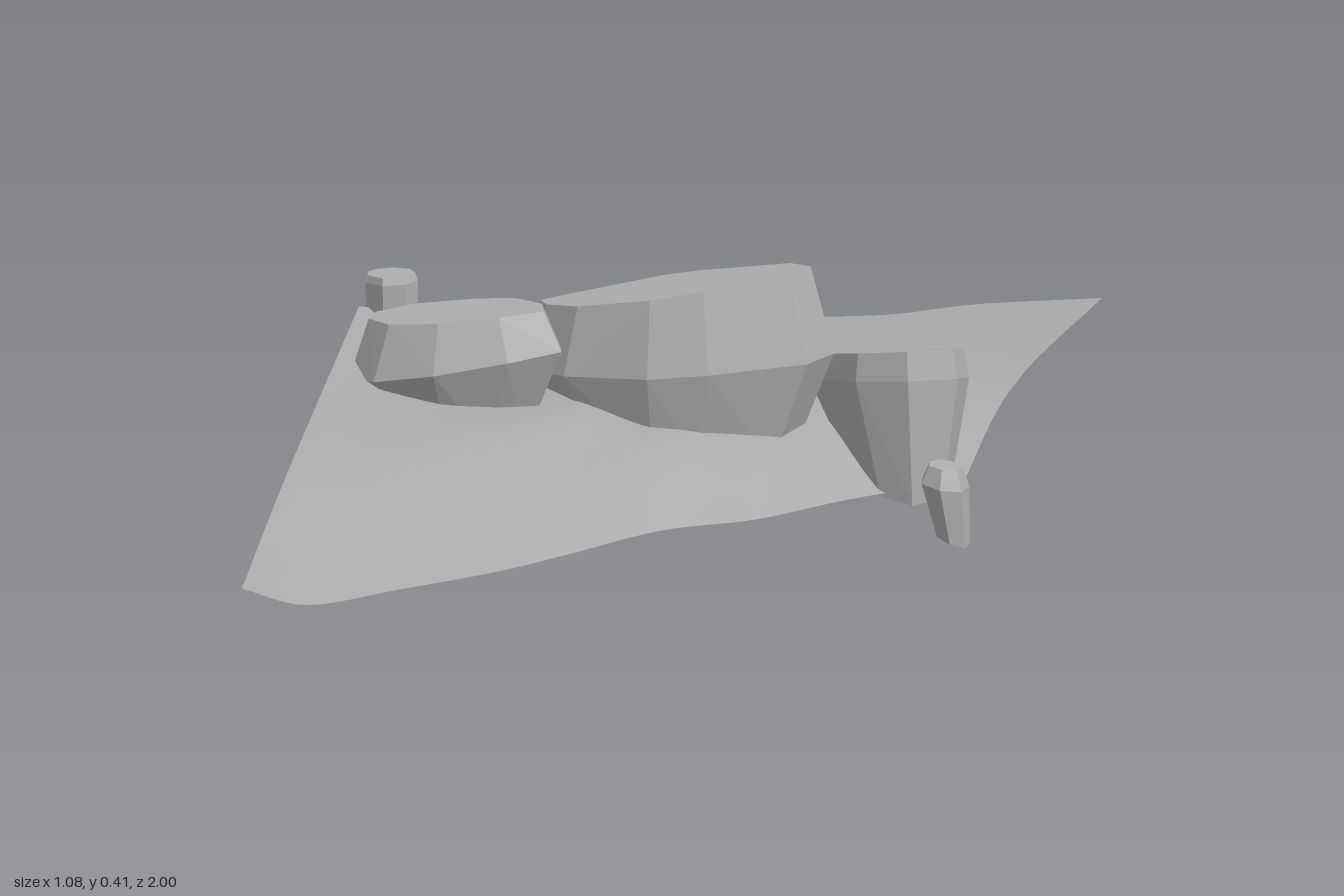
import * as THREE from 'three';
import { ConvexGeometry } from 'three/addons/geometries/ConvexGeometry.js';

const ground = new THREE.MeshStandardMaterial({ color: 0xa8a8a8, side: THREE.DoubleSide });
ground.name = 'ground grey';
const stone = new THREE.MeshStandardMaterial({ color: 0xb0b0b0 });
stone.name = 'stone grey';

const curve = (pts) => new THREE.CatmullRomCurve3(pts.map((p) => new THREE.Vector3(...p)), false, 'catmullrom', 0.5);

// Cross-sections of the slope, back to front: back x,z / front x,z / heights
const sections = [
  [[-0.53, 0.08], [-0.24, 1.0], [0.29, 0.255, 0.22, 0.185, 0.145, 0.1]],
  [[-0.45, 0.0], [-0.18, 0.92], [0.27, 0.245, 0.215, 0.18, 0.125, 0.06]],
  [[-0.31, -0.14], [-0.09, 0.8], [0.24, 0.23, 0.21, 0.185, 0.12, 0.06]],
  [[-0.2, -0.26], [0.0, 0.67], [0.215, 0.215, 0.205, 0.19, 0.125, 0.06]],
  [[-0.1, -0.4], [0.06, 0.55], [0.195, 0.2, 0.2, 0.185, 0.14, 0.06]],
  [[0.0, -0.57], [0.14, 0.38], [0.18, 0.185, 0.19, 0.185, 0.16, 0.06]],
  [[0.14, -0.68], [0.25, 0.27], [0.175, 0.18, 0.185, 0.18, 0.15, 0.06]],
  [[0.25, -0.84], [0.35, 0.1], [0.17, 0.17, 0.175, 0.17, 0.14, 0.06]],
  [[0.44, -1.0], [0.49, -0.03], [0.165, 0.165, 0.165, 0.16, 0.135, 0.07]],
];

// Thin sheet of ground lofted through the sections
function buildSlope() {
  const nS = 48, nT = 30;
  const rows = sections.map(([b, f, h]) =>
    curve(h.map((y, i) => {
      const t = i / (h.length - 1);
      return [b[0] + (f[0] - b[0]) * t, y, b[1] + (f[1] - b[1]) * t];
    })));
  const pos = [], index = [];
  const grid = [];
  for (let j = 0; j <= nT; j++) {
    const along = curve(rows.map((r) => r.getPoint(j / nT).toArray()));
    grid.push(Array.from({ length: nS + 1 }, (_, i) => along.getPoint(i / nS)));
  }
  for (const row of grid) for (const p of row) pos.push(p.x, p.y, p.z);
  const w = nS + 1;
  for (let j = 0; j < nT; j++) {
    for (let i = 0; i < nS; i++) {
      const a = j * w + i;
      index.push(a, a + w, a + 1, a + 1, a + w, a + w + 1);
    }
  }
  const g = new THREE.BufferGeometry();
  g.setAttribute('position', new THREE.Float32BufferAttribute(pos, 3));
  g.setIndex(index);
  g.computeVertexNormals();
  return g;
}

// Faceted rock: the plan outline repeated in tiers
// tier = [scale, height, slope along x, slope along z, shift x, shift z]
function buildRock({ centre: [cx, cz], outline, tiers }) {
  const pts = [];
  for (const [s, y, sx = 0, sz = 0, ox = 0, oz = 0] of tiers) {
    for (const [x, z] of outline) {
      const dx = (x - cx) * s, dz = (z - cz) * s;
      pts.push(new THREE.Vector3(cx + dx + ox, y + dx * sx + dz * sz, cz + dz + oz));
    }
  }
  return new ConvexGeometry(pts);
}

const rocks = {
  leftRock: {
    centre: [-0.27, 0.22],
    outline: [[-0.47, 0.2], [-0.45, 0.27], [-0.37, 0.34], [-0.26, 0.35], [-0.15, 0.31], [-0.08, 0.26],
      [-0.12, 0.18], [-0.21, 0.11], [-0.3, 0.1], [-0.42, 0.13]],
    tiers: [[0.82, 0.335, 0.12], [1, 0.255, 0.2], [0.6, 0.145, -0.12]],
  },
  middleRock: {
    centre: [0.02, 0.08],
    outline: [[-0.23, 0.09], [-0.19, 0.15], [-0.1, 0.21], [0.05, 0.225], [0.14, 0.19], [0.27, 0.1],
      [0.285, 0.02], [0.22, -0.045], [0.03, -0.07], [-0.04, -0.06], [-0.2, 0.06]],
    tiers: [[0.86, 0.37, 0.18], [1, 0.25, 0.08], [0.76, 0.12, -0.1]],
  },
  rightRock: {
    centre: [0.35, -0.03],
    outline: [[0.21, -0.08], [0.24, -0.12], [0.32, -0.14], [0.43, -0.13], [0.485, -0.06], [0.485, 0],
      [0.43, 0.08], [0.34, 0.07], [0.23, -0.02]],
    tiers: [[0.93, 0.27, 0.13, 0.18], [1, 0.225, 0.1, 0.18], [0.62, 0.065, -0.15, -0.15, 0.035, 0.025]],
  },
  smallLeftRock: {
    centre: [-0.49, 0.04],
    outline: [[-0.54, 0.03], [-0.525, 0.065], [-0.48, 0.09], [-0.445, 0.075], [-0.44, 0.04], [-0.47, 0],
      [-0.51, -0.01], [-0.535, 0.005]],
    tiers: [[0.92, 0.342, 0.06], [1, 0.33, 0.06], [0.98, 0.25, 0.1], [0.7, 0.222, -0.1]],
  },
  smallRightRock: {
    centre: [0.5, 0.1],
    outline: [[0.46, 0.09], [0.47, 0.125], [0.505, 0.14], [0.535, 0.125], [0.535, 0.085], [0.515, 0.062],
      [0.475, 0.06]],
    tiers: [[0.7, 0.13, -0.05], [1, 0.1, -0.1], [0.7, 0.012, -0.3, 0, 0.015]],
  },
};

export function createModel() {
  const group = new THREE.Group();
  group.name = 'rockySlope';
  const slope = new THREE.Mesh(buildSlope(), ground);
  slope.name = 'slope';
  group.add(slope);
  for (const [name, spec] of Object.entries(rocks)) {
    const rock = new THREE.Mesh(buildRock(spec), stone);
    rock.name = name;
    group.add(rock);
  }
  return group;
}
